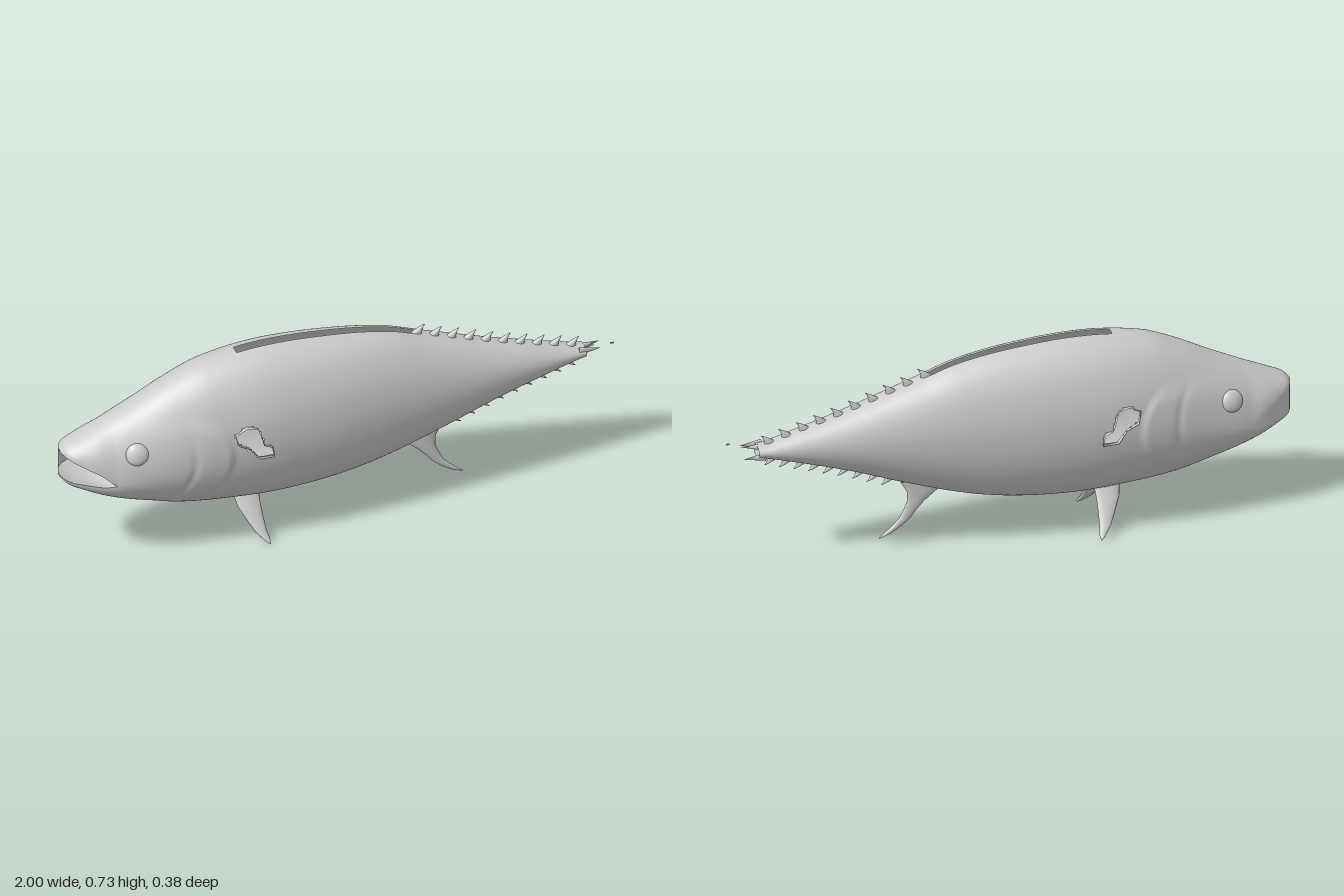
import * as THREE from 'three';
import { mergeGeometries, mergeVertices } from 'three/addons/utils/BufferGeometryUtils.js';

const material = new THREE.MeshStandardMaterial({ color: 0xcccccc, side: THREE.DoubleSide });

// Smooth lookup of a value along x through [x, value] points
function profile(points) {
  const slope = i => {
    const a = points[Math.max(i - 1, 0)], b = points[Math.min(i + 1, points.length - 1)];
    return (b[1] - a[1]) / (b[0] - a[0]);
  };
  return x => {
    let i = 0;
    while (i < points.length - 2 && x > points[i + 1][0]) i++;
    const [x0, y0] = points[i], [x1, y1] = points[i + 1], h = x1 - x0;
    const t = THREE.MathUtils.clamp((x - x0) / h, 0, 1), t2 = t * t, t3 = t2 * t;
    return (2 * t3 - 3 * t2 + 1) * y0 + (t3 - 2 * t2 + t) * h * slope(i)
      + (3 * t2 - 2 * t3) * y1 + (t3 - t2) * h * slope(i + 1);
  };
}

const back = profile([[-1, .452], [-.98, .472], [-.93, .495], [-.74, .583], [-.6, .655], [-.475, .703],
  [-.26, .73], [0, .717], [.19, .685], [.33, .637], [.59, .55], [.86, .474], [.9, .468]]);
const belly = profile([[-1, .343], [-.98, .323], [-.95, .307], [-.83, .25], [-.74, .215], [-.58, .167],
  [-.37, .143], [-.2, .137], [0, .153], [.17, .188], [.38, .257], [.59, .335], [.86, .417], [.9, .425]]);
const halfWidth = profile([[-1, .012], [-.985, .05], [-.95, .08], [-.9, .105], [-.83, .127], [-.77, .139],
  [-.62, .153], [-.5, .167], [-.34, .178], [-.2, .176], [0, .163], [.35, .12], [.62, .083], [.9, .037]]);
const middle = profile([[-.83, .342], [-.7, .37], [-.5, .41], [-.3, .43], [.3, .445], [.9, .447]]);
const upperLip = profile([[-1, .447], [-.93, .41], [-.88, .382], [-.85, .355], [-.83, .342]]);
const lowerLip = profile([[-1, .35], [-.93, .345], [-.87, .338], [-.83, .342]]);
const mouthEnd = -.83;

// Surface from a grid of points; cells can be left open
function grid(nu, nv, point, skip = () => false) {
  const positions = [], index = [];
  for (let i = 0; i <= nu; i++) for (let j = 0; j <= nv; j++) positions.push(...point(i, j));
  for (let i = 0; i < nu; i++) for (let j = 0; j < nv; j++) {
    if (skip(i, j)) continue;
    const a = i * (nv + 1) + j, b = a + nv + 1;
    index.push(a, b, b + 1, a, b + 1, a + 1);
  }
  const g = new THREE.BufferGeometry();
  g.setAttribute('position', new THREE.Float32BufferAttribute(positions, 3));
  g.setIndex(index);
  return g;
}

function smooth(geometry) {
  const g = mergeVertices(geometry, 1e-5);
  g.computeVertexNormals();
  return g;
}

function add(parent, name, geometry) {
  const mesh = new THREE.Mesh(geometry, material);
  mesh.name = name;
  parent.add(mesh);
  return mesh;
}

// Relief of the gill cover and the cheek groove
function relief(x, y) {
  const S = THREE.MathUtils.smoothstep;
  const r = Math.hypot(x + .61, y - .4);
  const cover = (1 - S(r, .165, .195)) * S(x, -.8, -.6) * (1 - S(y, .5, .58));
  const groove = Math.exp(-(((Math.hypot(x + .72, (y - .41) * .8) - .16) / .014) ** 2));
  return .009 * cover - .004 * groove * (x > -.7 ? 1 : 0) * (1 - S(y, .5, .58));
}

// Point on the flank; theta runs from the left side over the back, or under the belly
function skin(x, theta) {
  const s = Math.sin(theta), c = Math.cos(theta), upper = theta <= Math.PI + 1e-6;
  const m = x >= mouthEnd ? middle(x) : upper ? upperLip(x) : lowerLip(x);
  const y = m + (upper ? back(x) - m : m - belly(x)) * (Math.abs(s) < 1e-9 ? 0 : s);
  return [x, y, c * (halfWidth(x) + relief(x, y) * Math.abs(c))];
}

// Torn opening behind the gill cover
const finHole = [[-.42, .487], [-.38, .513], [-.342, .503], [-.326, .46], [-.32, .433],
  [-.29, .422], [-.283, .38], [-.337, .385], [-.37, .428], [-.41, .45]];
function insideHole(x, y) {
  let inside = false;
  finHole.forEach(([x1, y1], i) => {
    const [x2, y2] = finHole[(i + 1) % finHole.length];
    if ((y1 > y) !== (y2 > y) && x < x1 + (x2 - x1) * (y - y1) / (y2 - y1)) inside = !inside;
  });
  return inside;
}

function bodyGeometry() {
  const nx = 220, na = 64;
  const xAt = i => -1 + 1.9 * (i / nx) ** 1.15;
  const half = start => {
    const angle = j => start + Math.PI * j / na;
    return grid(nx, na, (i, j) => skin(xAt(i), angle(j)), (i, j) => {
      const [x, y] = skin((xAt(i) + xAt(i + 1)) / 2, angle(j + .5));
      const slot = start === 0 && Math.abs(j + .5 - na / 2) < 2 && x > -.36 && x < .3;
      return slot || insideHole(x, y);
    });
  };
  return smooth(mergeGeometries([half(0), half(Math.PI)]));
}

// Hollow palate or mouth floor
function mouthGeometry(lip, depth) {
  return smooth(grid(24, 16, (i, j) => {
    const x = -1 + (mouthEnd + 1) * i / 24, v = 1 - j / 8;
    const hollow = depth * (1 - v * v) * Math.sin(Math.PI * i / 24);
    return [x, lip(x) + hollow, v * halfWidth(x)];
  }));
}

// Fin from level oval sections [x, y, z, half chord, half thickness], lowest first
function finGeometry(sections) {
  const n = 14;
  return smooth(grid(sections.length - 1, n, (i, j) => {
    const [x, y, z, chord, thick] = sections[i], a = 2 * Math.PI * (j % n) / n;
    return [x + chord * Math.cos(a), y, z + thick * Math.sin(a)];
  }));
}

export function createModel() {
  const fish = new THREE.Group();
  fish.name = 'fish';
  add(fish, 'body', bodyGeometry());
  add(fish, 'palate', mouthGeometry(upperLip, .02));
  add(fish, 'mouthFloor', mouthGeometry(lowerLip, -.02));

  for (const side of [1, -1]) {
    // Eyes
    const eye = add(fish, 'eye', new THREE.SphereGeometry(.04, 24, 16));
    eye.scale.z = .5;
    eye.position.set(-.76, .455, side * .122);
    eye.rotation.set(side * -.35, side * -.2, 0);

    // Raised torn rim of the side opening
    const n = finHole.length;
    add(fish, 'pectoralRim', smooth(grid(n, 1, (i, j) => {
      const [x, y] = finHole[i % n];
      const m = middle(x), s = (y - m) / (y > m ? back(x) - m : m - belly(x));
      const z = halfWidth(x) * Math.sqrt(1 - s * s);
      return [x, y, side * (z + (j ? .008 + .006 * (i % 2) : -.005))];
    })));

    // Pelvic fins
    add(fish, 'pelvicFin', finGeometry([
      [-.288, .002, .15, .002, .003], [-.294, .014, .139, .011, .01], [-.31, .04, .116, .021, .012],
      [-.323, .08, .09, .031, .012], [-.334, .12, .064, .041, .012], [-.338, .165, .035, .047, .013],
    ].map(([x, y, z, c, t]) => [x, y, side * z, c, t])));

    // Torn tail root
    const keel = add(fish, 'tailKeel', new THREE.ConeGeometry(.016, .08, 8));
    keel.scale.z = .4;
    keel.rotation.set(0, 0, -Math.PI / 2);
    keel.position.set(.915, .447 + side * .012, side * .029);
  }

  // Anal fin
  add(fish, 'analFin', finGeometry([
    [.46, .045, 0, .003, .003], [.432, .06, 0, .013, .007], [.398, .085, 0, .018, .009],
    [.371, .11, 0, .021, .01], [.352, .14, 0, .025, .01], [.331, .17, 0, .033, .01],
    [.306, .21, 0, .058, .01], [.312, .25, 0, .074, .01],
  ]));

  // Hooked finlets along the back and under the tail
  for (let i = 0; i < 10; i++) {
    const x = .29 + .062 * i, y = back(x);
    add(fish, 'dorsalFinlet', finGeometry([[x, y - .02, 0, .025, .014], [x + .008, y + .002, 0, .017, .012],
      [x + .02, y + .014, 0, .009, .007], [x + .034, y + .024, 0, .002, .002]]));
  }
  for (let i = 0; i < 9; i++) {
    const x = .42 + .052 * i, y = belly(x);
    add(fish, 'ventralFinlet', finGeometry([[x + .034, y - .022, 0, .002, .002], [x + .02, y - .013, 0, .008, .007],
      [x + .008, y - .002, 0, .015, .012], [x, y + .02, 0, .022, .014]]));
  }

  // Upper tail splinter and the loose chip behind it
  const splinter = add(fish, 'tailSplinter', new THREE.ConeGeometry(.012, .08, 8));
  splinter.rotation.z = -1.45;
  splinter.position.set(.92, .464, 0);
  add(fish, 'tailChip', new THREE.BoxGeometry(.012, .004, .004)).position.set(.994, .47, .03);
  return fish;
}
